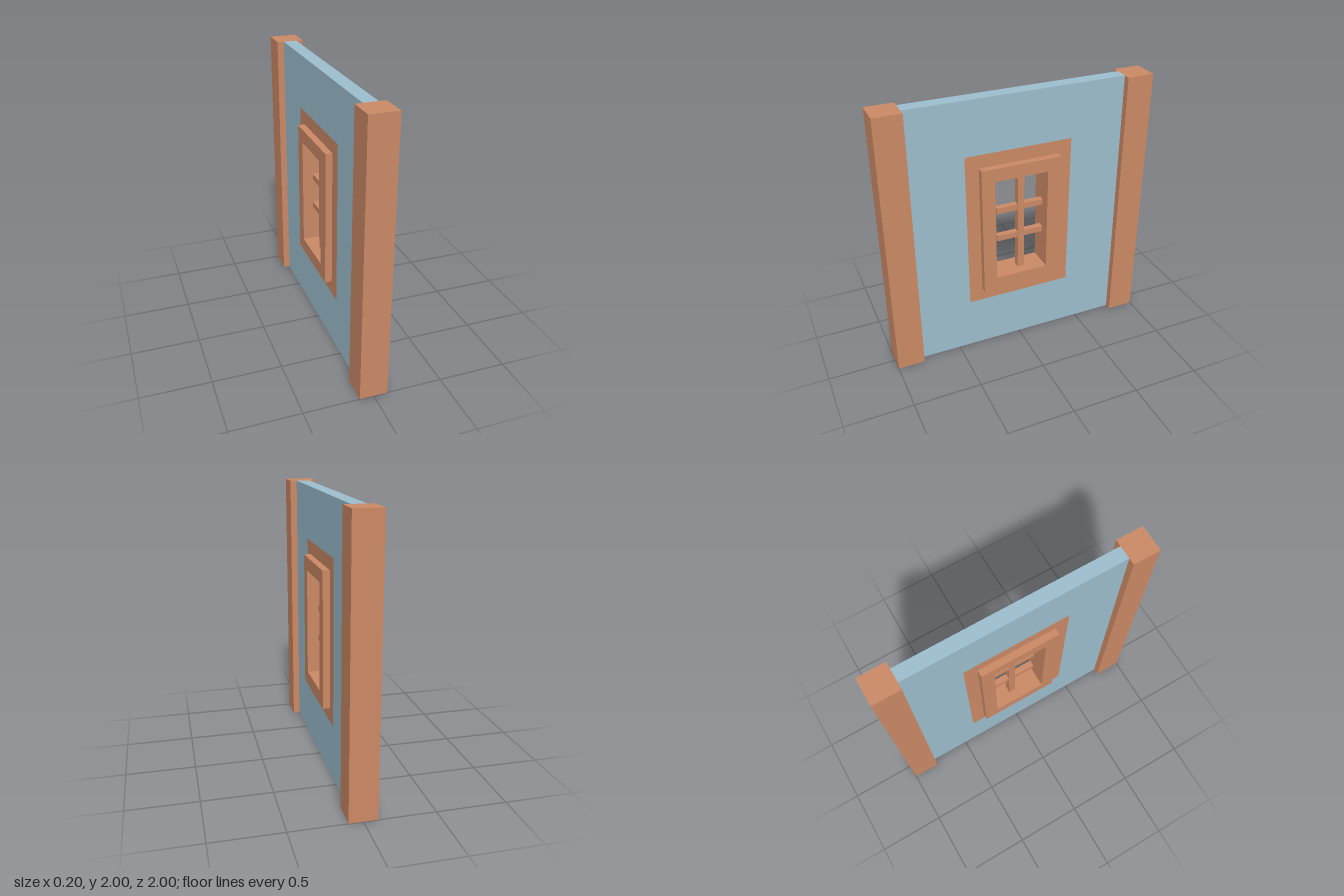
import * as THREE from 'three';

const wood = new THREE.MeshStandardMaterial({ color: 0xcc8a66 });
const plaster = new THREE.MeshStandardMaterial({ color: 0x9dbfcf });

function rect(Type, halfWidth, bottom, top) {
  return new Type([
    new THREE.Vector2(-halfWidth, bottom),
    new THREE.Vector2(halfWidth, bottom),
    new THREE.Vector2(halfWidth, top),
    new THREE.Vector2(-halfWidth, top),
  ]);
}

// Upright slab in the yz plane with a rectangular opening; outer and inner are [halfWidth, bottom, top]
function ring(name, outer, inner, thickness, material) {
  const shape = rect(THREE.Shape, ...outer);
  shape.holes.push(rect(THREE.Path, ...inner));
  const geometry = new THREE.ExtrudeGeometry(shape, { depth: thickness, bevelEnabled: false });
  geometry.translate(0, 0, -thickness / 2).rotateY(Math.PI / 2);
  const mesh = new THREE.Mesh(geometry, material);
  mesh.name = name;
  return mesh;
}

function box(name, size, position) {
  const mesh = new THREE.Mesh(new THREE.BoxGeometry(...size), wood);
  mesh.position.set(...position);
  mesh.name = name;
  return mesh;
}

export function createModel() {
  const model = new THREE.Group();
  model.name = 'windowWall';

  // Wall panel with its window surround set flush into it
  const surround = [0.4, 0.4, 1.6];
  const frame = [0.3, 0.5, 1.5];
  const opening = [0.2, 0.6, 1.4];
  model.add(
    ring('wallPanel', [0.8, 0, 2], surround, 0.1, plaster),
    ring('windowSurround', surround, frame, 0.1, wood),
    ring('windowFrame', frame, opening, 0.2, wood),
  );

  // Corner posts
  model.add(box('frontPost', [0.2, 2, 0.2], [0, 1, 0.9]));
  model.add(box('backPost', [0.2, 2, 0.2], [0, 1, -0.9]));

  // Window bars: one upright, two crossbars that stop short of the frame at the front
  const bars = new THREE.Group();
  bars.name = 'windowBars';
  bars.add(box('uprightBar', [0.05, 0.8, 0.05], [0, 1, -0.025]));
  for (const [name, y] of [['upperCrossbar', 1.118], ['lowerCrossbar', 0.888]]) {
    bars.add(box(name, [0.045, 0.045, 0.36], [0, y, -0.02]));
  }
  model.add(bars);

  return model;
}
